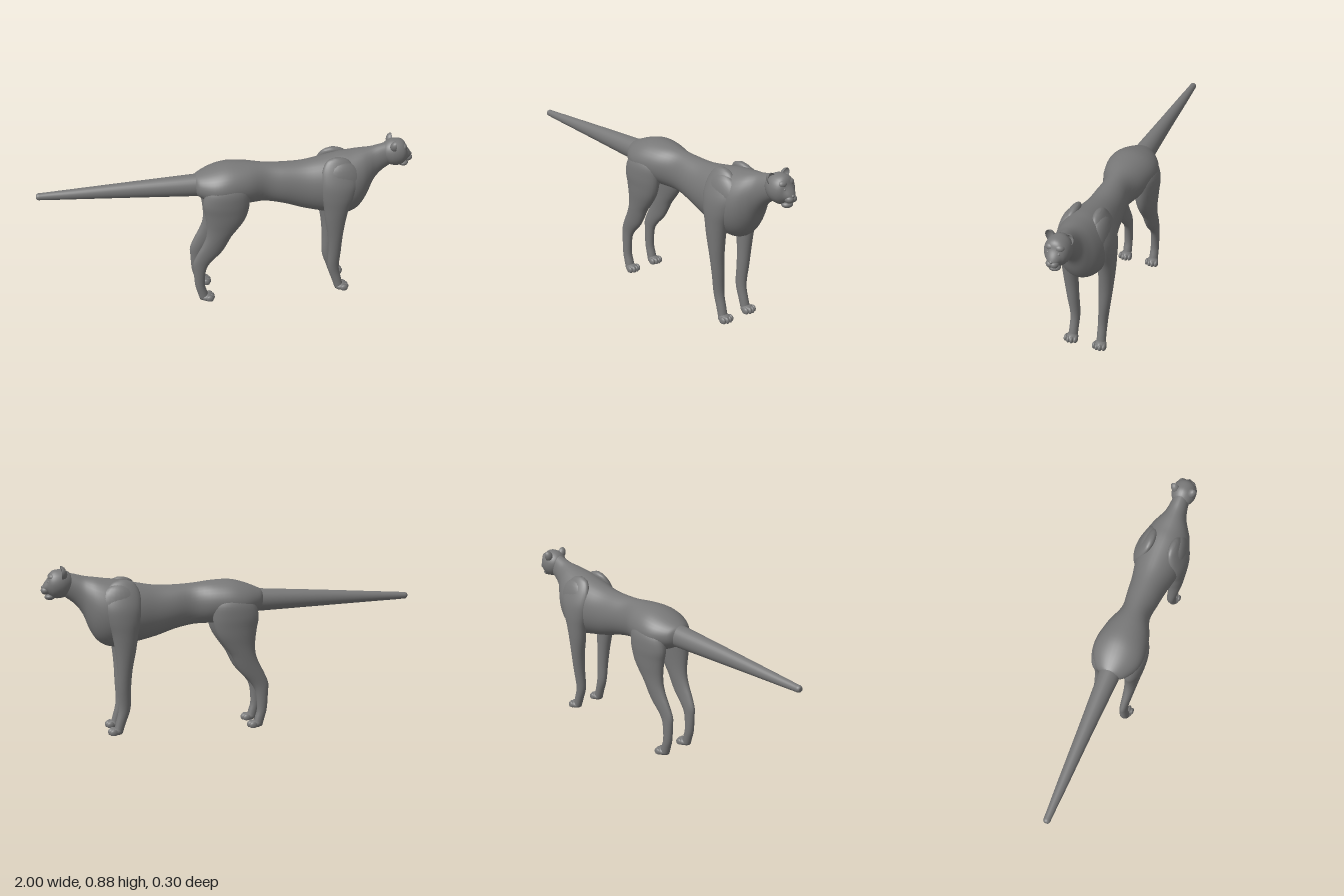
import * as THREE from 'three';

const color = 0x787878;
const material = new THREE.MeshStandardMaterial({ color });
const thinMaterial = new THREE.MeshStandardMaterial({ color, side: THREE.DoubleSide });

// Smooth skin over elliptical sections [x, y, z, radiusA, radiusZ].
// axis 'x': upright rings listed tail to head; axis 'y': level rings listed top to bottom.
function loft(name, sections, axis, sub = 4, n = 28) {
  const centers = new THREE.CatmullRomCurve3(
    sections.map(s => new THREE.Vector3(s[0], s[1], s[2])), false, 'catmullrom');
  const radii = new THREE.CatmullRomCurve3(
    sections.map(s => new THREE.Vector3(s[3], s[4], 0)), false, 'catmullrom');
  const rows = (sections.length - 1) * sub;
  const pos = [], index = [];
  for (let i = 0; i <= rows; i++) {
    const c = centers.getPoint(i / rows), r = radii.getPoint(i / rows);
    for (let j = 0; j < n; j++) {
      const t = j / n * Math.PI * 2;
      const a = r.x * Math.cos(t), b = r.y * Math.sin(t);
      if (axis === 'x') pos.push(c.x, c.y + a, c.z + b);
      else pos.push(c.x + a, c.y, c.z + b);
      if (i < rows) {
        const p = i * n + j, q = i * n + (j + 1) % n;
        index.push(p, q, p + n, q, q + n, p + n);
      }
    }
  }
  // end caps
  const first = pos.length / 3, last = first + 1;
  for (const t of [0, 1]) pos.push(...centers.getPoint(t).toArray());
  for (let j = 0; j < n; j++) {
    const k = (j + 1) % n;
    index.push(first, k, j, last, rows * n + j, rows * n + k);
  }
  const g = new THREE.BufferGeometry();
  g.setAttribute('position', new THREE.Float32BufferAttribute(pos, 3));
  g.setIndex(index);
  g.computeVertexNormals();
  return named(name, new THREE.Mesh(g, material));
}

function named(name, object) {
  object.name = name;
  return object;
}

// Ellipsoid, flattened where it would go below the ground
function blob(name, p, r) {
  const g = new THREE.SphereGeometry(1, 24, 16);
  g.scale(...r).translate(...p);
  const a = g.attributes.position;
  for (let i = 0; i < a.count; i++) a.setY(i, Math.max(0, a.getY(i)));
  return named(name, new THREE.Mesh(g, material));
}

// Paw with four toes; x is the heel
function paw(x, z) {
  const group = named('paw', new THREE.Group());
  group.add(blob('pawPad', [x + 0.035, 0.014, z], [0.036, 0.023, 0.033]));
  [-1.5, -0.5, 0.5, 1.5].forEach(k => {
    const reach = Math.abs(k) > 1 ? 0.048 : 0.056;
    group.add(blob('toe', [x + reach, 0.012, z + k * 0.0178], [0.021, 0.02, 0.0115]));
  });
  return group;
}

function leg(name, side, sections, heel) {
  const group = named(name, new THREE.Group());
  group.add(loft('limb', sections.map(([y, x, rx, z, rz]) => [x, y, z * side, rx, rz]), 'y'));
  group.add(paw(heel, 0.08 * side));
  return group;
}

// Limb sections: [y, x, radiusX, z, radiusZ]
const FRONT_LEG = [
  [0.818, 0.575, 0.02, 0.06, 0.01],
  [0.80, 0.577, 0.06, 0.064, 0.024],
  [0.75, 0.583, 0.092, 0.081, 0.036],
  [0.68, 0.584, 0.098, 0.101, 0.043],
  [0.61, 0.58, 0.088, 0.105, 0.046],
  [0.54, 0.575, 0.069, 0.103, 0.045],
  [0.46, 0.573, 0.056, 0.1, 0.042],
  [0.35, 0.578, 0.04, 0.095, 0.036],
  [0.25, 0.581, 0.034, 0.087, 0.031],
  [0.14, 0.581, 0.031, 0.078, 0.025],
  [0.06, 0.603, 0.027, 0.078, 0.024],
  [0.005, 0.62, 0.025, 0.08, 0.025],
];
const HIND_LEG = [
  [0.765, 0.0, 0.03, 0.05, 0.015],
  [0.74, 0.0, 0.08, 0.066, 0.034],
  [0.68, -0.008, 0.113, 0.084, 0.055],
  [0.61, -0.016, 0.124, 0.088, 0.057],
  [0.55, -0.016, 0.115, 0.088, 0.052],
  [0.5, -0.022, 0.102, 0.088, 0.047],
  [0.45, -0.037, 0.084, 0.087, 0.041],
  [0.4, -0.058, 0.068, 0.086, 0.036],
  [0.35, -0.08, 0.065, 0.085, 0.031],
  [0.3, -0.108, 0.063, 0.083, 0.027],
  [0.24, -0.148, 0.048, 0.08, 0.023],
  [0.19, -0.161, 0.034, 0.08, 0.022],
  [0.1, -0.162, 0.027, 0.08, 0.023],
  [0.05, -0.15, 0.027, 0.08, 0.024],
  [0.005, -0.137, 0.027, 0.08, 0.025],
];

// Trunk sections: [x, bottom, top, half width]
const TRUNK = [
  [-0.175, 0.64, 0.737, 0.048],
  [-0.15, 0.62, 0.75, 0.084],
  [-0.08, 0.585, 0.778, 0.126],
  [0, 0.57, 0.797, 0.135],
  [0.1, 0.567, 0.795, 0.116],
  [0.2, 0.563, 0.784, 0.08],
  [0.3, 0.542, 0.778, 0.088],
  [0.4, 0.508, 0.779, 0.1],
  [0.5, 0.483, 0.795, 0.12],
  [0.6, 0.461, 0.815, 0.133],
  [0.66, 0.465, 0.822, 0.129],
  [0.71, 0.495, 0.829, 0.111],
  [0.75, 0.556, 0.834, 0.083],
  [0.78, 0.632, 0.839, 0.062],
  [0.82, 0.689, 0.849, 0.05],
  [0.88, 0.735, 0.862, 0.042],
];

function createHead() {
  const head = named('head', new THREE.Group());
  head.add(loft('skull', [
    [0.825, 0.805, 0, 0.015, 0.015],
    [0.84, 0.805, 0, 0.046, 0.043],
    [0.87, 0.802, 0, 0.069, 0.061],
    [0.9, 0.8, 0, 0.075, 0.066],
    [0.928, 0.799, 0, 0.073, 0.062],
    [0.947, 0.798, 0, 0.06, 0.052],
    [0.96, 0.79, 0, 0.041, 0.039],
    [0.978, 0.782, 0, 0.024, 0.025],
    [0.988, 0.778, 0, 0.01, 0.012],
  ], 'x'));
  head.add(blob('nose', [0.985, 0.784, 0], [0.009, 0.008, 0.01]));
  head.add(blob('lowerJaw', [0.95, 0.733, 0], [0.027, 0.017, 0.03]));
  for (const s of [1, -1]) {
    const side = s > 0 ? 'right' : 'left';
    head.add(blob(side + 'Muzzle', [0.971, 0.767, s * 0.01], [0.024, 0.02, 0.022]));
    head.add(blob(side + 'Brow', [0.936, 0.836, s * 0.022], [0.021, 0.02, 0.026]));
    head.add(blob(side + 'Eye', [0.955, 0.815, s * 0.026], [0.008, 0.008, 0.009]));
    // ear: thin cup opening forward, leaning outward
    const g = new THREE.SphereGeometry(1, 20, 10, 0, Math.PI * 2, 0, Math.PI / 2);
    g.rotateZ(Math.PI / 2).scale(0.028, 0.034, 0.024).rotateX(s * 0.4);
    g.translate(0.888, 0.852, s * 0.046);
    head.add(named(side + 'Ear', new THREE.Mesh(g, thinMaterial)));
  }
  return head;
}

export function createModel() {
  const model = named('bigCat', new THREE.Group());
  model.add(loft('trunk', TRUNK.map(([x, lo, hi, w]) =>
    [x, (lo + hi) / 2, 0, (hi - lo) / 2, w]), 'x', 4, 36));
  model.add(loft('tail', [
    [-1, 0.677, 0, 0.012, 0.012],
    [-0.99, 0.677, 0, 0.018, 0.018],
    [-0.97, 0.677, 0, 0.019, 0.019],
    [-0.92, 0.677, 0, 0.022, 0.021],
    [-0.8, 0.678, 0, 0.028, 0.027],
    [-0.5, 0.68, 0, 0.044, 0.039],
    [-0.2, 0.681, 0, 0.059, 0.054],
    [-0.1, 0.682, 0, 0.064, 0.058],
  ], 'x'));
  model.add(createHead());
  for (const s of [1, -1]) {
    const suffix = s > 0 ? 'Right' : 'Left';
    model.add(blob('shoulder' + suffix, [0.595, 0.66, s * 0.075], [0.125, 0.14, 0.06]));
    model.add(leg('frontLeg' + suffix, s, FRONT_LEG, 0.595));
    model.add(leg('hindLeg' + suffix, s, HIND_LEG, -0.158));
  }
  return model;
}
